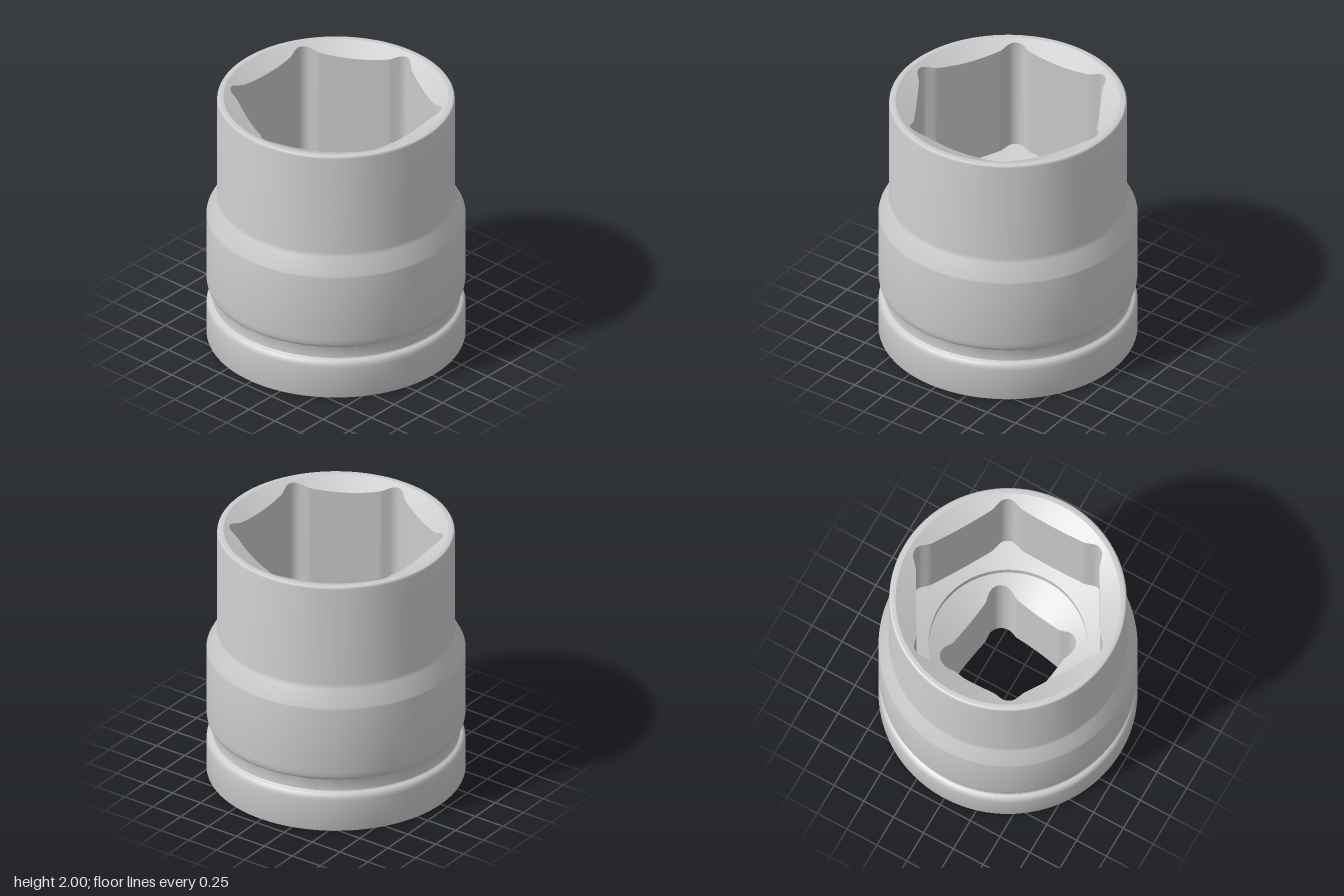
import * as THREE from 'three';
import { toCreasedNormals } from 'three/addons/utils/BufferGeometryUtils.js';

const N = 480; // samples around each bore ring
const steel = new THREE.MeshStandardMaterial({ color: 0xcccccc });

// Polar outline of a polygon bore with a round relief lobe at each corner,
// averaged over neighbouring samples so that lobes blend into the flats.
function boreOutline(sides, apothem, lobeDist, lobeRadius, turn, blur) {
  const step = (2 * Math.PI) / sides;
  const raw = [];
  for (let i = 0; i < N; i++) {
    const t = (i / N) * 2 * Math.PI - turn;
    const phi = t - Math.round(t / step) * step; // angle from nearest corner
    const flat = apothem / Math.cos(step / 2 - Math.abs(phi));
    const d = lobeRadius ** 2 - (lobeDist * Math.sin(phi)) ** 2;
    const lobe = d > 0 ? lobeDist * Math.cos(phi) + Math.sqrt(d) : 0;
    raw.push(Math.max(flat, lobe));
  }
  return raw.map((_, i) => {
    let sum = 0;
    for (let k = -blur; k <= blur; k++) sum += raw[(i + k + N) % N];
    return sum / (2 * blur + 1);
  });
}

const circle = (r) => new Array(N).fill(r);
const ring = (radii, height) => radii.map((r) => [r, height(r)]);

// Surface between two rings, facing the axis when going downwards
function band(name, upper, lower) {
  const pos = [];
  const index = [];
  for (const points of [upper, lower]) {
    points.forEach(([r, y], i) => {
      const t = (i / N) * 2 * Math.PI;
      pos.push(r * Math.cos(t), y, r * Math.sin(t));
    });
  }
  for (let i = 0; i < N; i++) {
    const j = (i + 1) % N;
    index.push(i, N + i, j, j, N + i, N + j);
  }
  const g = new THREE.BufferGeometry();
  g.setAttribute('position', new THREE.Float32BufferAttribute(pos, 3));
  g.setIndex(index);
  g.computeVertexNormals();
  const mesh = new THREE.Mesh(g, steel);
  mesh.name = name;
  return mesh;
}

export function createModel() {
  const group = new THREE.Group();
  group.name = 'impactSocket';

  // Turned outer body: base, retaining groove, drive end, taper, nose and rim
  const profile = [
    [0.53, 0], [0.934, 0], [0.942, 0.003], [0.945, 0.011],
    [0.945, 0.25], [0.943, 0.27], [0.937, 0.287], [0.927, 0.299], [0.915, 0.305],
    [0.906, 0.309], [0.901, 0.316], [0.9, 0.325],
    [0.9, 0.413], [0.902, 0.418], [0.907, 0.42],
    [0.918, 0.42], [0.928, 0.424], [0.935, 0.434], [0.941, 0.453], [0.945, 0.485],
    [0.945, 1.015], [0.943, 1.025],
    [0.877, 1.15], [0.87, 1.168], [0.867, 1.185],
    [0.867, 1.98], [0.8655, 1.988], [0.861, 1.995], [0.854, 1.999], [0.847, 2],
    [0.82, 2],
  ].map(([r, y]) => new THREE.Vector2(r, y));
  const body = new THREE.Mesh(
    toCreasedNormals(new THREE.LatheGeometry(profile, 144), 0.45), steel);
  body.name = 'outerBody';
  group.add(body);

  // Bores: hex from above, square drive from below, joined by a round step
  const hex = boreOutline(6, 0.67, 0.695, 0.09, 0, 3);
  const square = boreOutline(4, 0.358, 0.4, 0.1, Math.atan2(0.32, 0.24), 4);
  const floorY = 1.03;
  const stepY = 0.97;
  const rings = [
    ring(circle(0.82), () => 2),
    ring(hex, (r) => 2 - (0.82 - r) * 0.5),
    ring(hex, (r) => floorY + (r - 0.58) * 0.3),
    ring(circle(0.58), () => floorY),
    ring(circle(0.58), () => stepY),
    ring(square, (r) => stepY - (0.58 - r) * 0.5),
    ring(square, (r) => (0.53 - r) * 0.5),
    ring(circle(0.53), () => 0),
  ];
  const names = ['entryChamfer', 'hexWall', 'hexFloor', 'stepWall',
    'stepCone', 'squareDriveWall', 'driveChamfer'];
  names.forEach((name, i) => group.add(band(name, rings[i], rings[i + 1])));

  return group;
}
